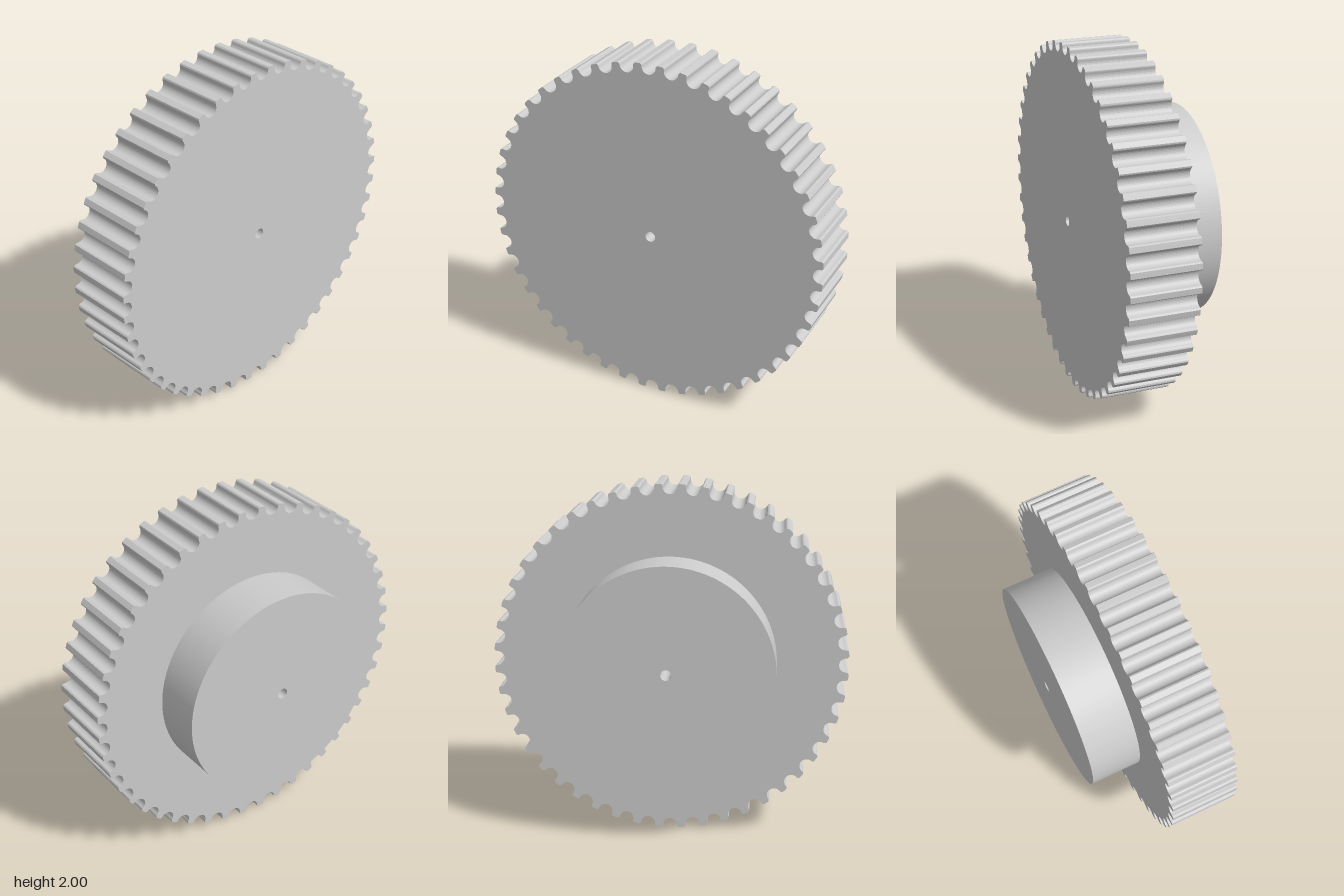
import * as THREE from 'three';

const TEETH = 48;
const OUTER = 1.001;   // radius at the tooth tips
const HUB = 0.6;
const BORE = 0.03;

// Half of one groove as [half width, depth]: rounded lip, then a round bottom
function halfGroove() {
  const pts = [[0.0493, 0.0], [0.0457, 0.0036], [0.043, 0.0066], [0.0415, 0.0104]];
  for (let i = 0; i < 8; i++) {
    const a = (i / 8) * Math.PI / 2;
    pts.push([0.0405 * Math.cos(a), 0.0155 + 0.041 * Math.sin(a)]);
  }
  return pts;
}

// Toothed outline: the same groove repeated round the rim
function toothedShape() {
  const half = halfGroove();
  const groove = [
    ...half.map(([w, d]) => [-w, d]),
    [0, 0.0565],
    ...half.slice().reverse(),
  ];
  const pts = [];
  for (let i = 0; i < TEETH; i++) {
    const mid = (i / TEETH) * Math.PI * 2;
    for (const [w, d] of groove) {
      // the offset w runs along the tangent, d runs inward
      const r = Math.sqrt(OUTER * OUTER - w * w) - d;
      pts.push(new THREE.Vector2(
        r * Math.cos(mid) - w * Math.sin(mid),
        r * Math.sin(mid) + w * Math.cos(mid)));
    }
    const tip = mid + Math.PI / TEETH;
    pts.push(new THREE.Vector2(OUTER * Math.cos(tip), OUTER * Math.sin(tip)));
  }
  return new THREE.Shape(pts);
}

// Extrude a shape with the shaft bore along x, from x0 to x1
function disc(name, shape, x0, x1, material) {
  shape.holes.push(new THREE.Path().absarc(0, 0, BORE, 0, Math.PI * 2, true));
  const geo = new THREE.ExtrudeGeometry(shape, {
    depth: x1 - x0, bevelEnabled: false, curveSegments: 96,
  });
  geo.rotateY(Math.PI / 2);
  geo.translate(x0, 1, 0);
  const mesh = new THREE.Mesh(geo, material);
  mesh.name = name;
  return mesh;
}

export function createModel() {
  const material = new THREE.MeshStandardMaterial({ color: 0xcccccc, flatShading: true });
  const group = new THREE.Group();
  group.name = 'timingPulley';

  // Wide toothed wheel
  group.add(disc('toothedWheel', toothedShape(), -0.05, 0.336, material));

  // Plain round hub on one side
  const round = new THREE.Shape().absarc(0, 0, HUB, 0, Math.PI * 2, false);
  group.add(disc('hub', round, -0.336, -0.05, material));

  return group;
}
